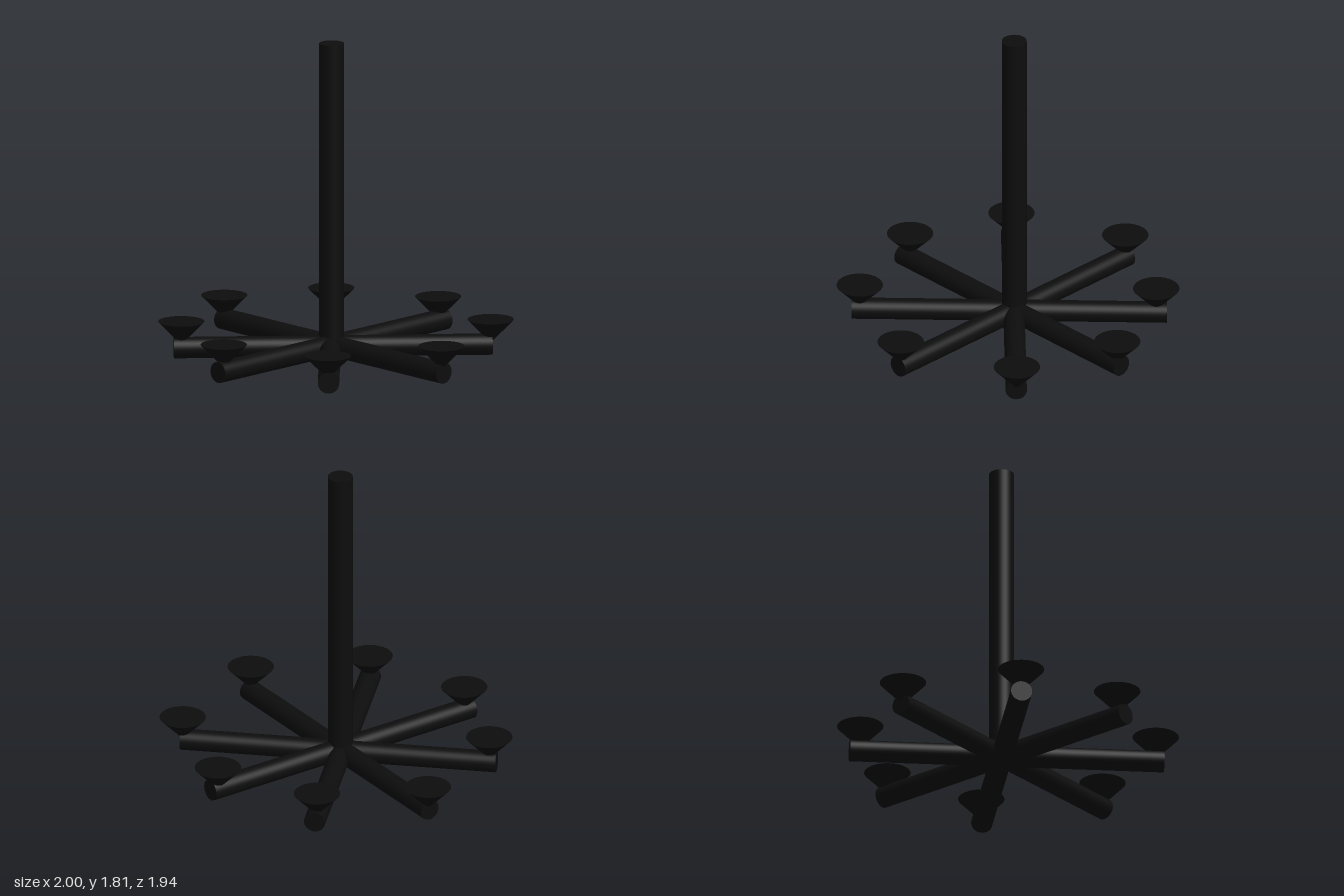
import * as THREE from 'three';

const material = new THREE.MeshStandardMaterial({ color: 0x0d0d0d });
const UP = new THREE.Vector3(0, 1, 0);

// Round bar with flat ends between two points
function bar(name, a, b, radius) {
  const from = new THREE.Vector3(...a), to = new THREE.Vector3(...b);
  const dir = to.clone().sub(from);
  const mesh = new THREE.Mesh(new THREE.CylinderGeometry(radius, radius, dir.length(), 32), material);
  mesh.position.copy(from).add(to).multiplyScalar(0.5);
  mesh.quaternion.setFromUnitVectors(UP, dir.normalize());
  mesh.name = name;
  return mesh;
}

export function createModel() {
  const model = new THREE.Group();
  model.name = 'suctionCupStand';

  // Upright post
  model.add(bar('post', [-0.01, 0.05, -0.01], [-0.01, 1.81, -0.01], 0.07));

  // Four crossing bars, slightly tilted, giving eight arms
  const arms = [
    [[-0.89, 0.078, -0.01], [0.89, 0.062, -0.01]],
    [[0, 0.08, -0.89], [0, 0.064, 0.89]],
    [[-0.62, 0.065, -0.61], [0.63, 0.068, 0.64]],
    [[-0.61, 0.063, 0.64], [0.605, 0.073, -0.67]],
  ];
  for (const [a, b] of arms) model.add(bar('crossArm', a, b, 0.06));

  // Conical cups opening upward at the arm ends
  const cups = [
    [-0.01, -0.845], [0.595, -0.665], [0.87, -0.01], [0.595, 0.61],
    [-0.01, 0.835], [-0.58, 0.61], [-0.87, -0.01], [-0.58, -0.565],
  ];
  const cupGeometry = new THREE.CylinderGeometry(0.13, 0.005, 0.13, 48);
  for (const [x, z] of cups) {
    const cup = new THREE.Mesh(cupGeometry, material);
    cup.position.set(x, 0.15, z);
    cup.name = 'cup';
    model.add(cup);
  }
  return model;
}
